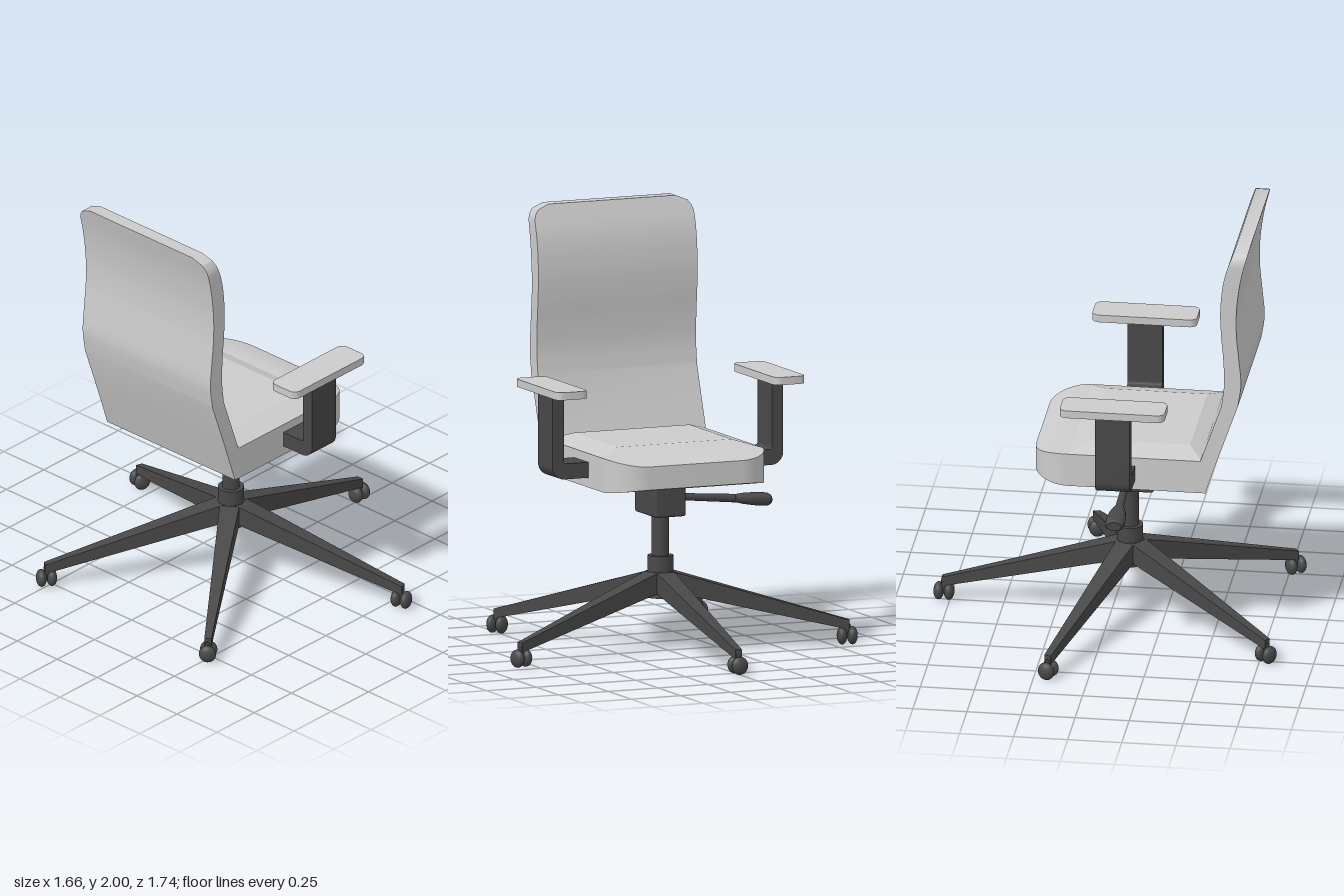
import * as THREE from 'three';
import { toCreasedNormals } from 'three/addons/utils/BufferGeometryUtils.js';
import { RoundedBoxGeometry } from 'three/addons/geometries/RoundedBoxGeometry.js';

const fabric = new THREE.MeshStandardMaterial({ color: 0xcccccc });
const dark = new THREE.MeshStandardMaterial({ color: 0x484848 });
const CX = -0.083; // x of the central column

function add(parent, name, geometry, material, x = 0, y = 0, z = 0) {
  const mesh = new THREE.Mesh(geometry, material);
  mesh.name = name;
  mesh.position.set(x, y, z);
  parent.add(mesh);
  return mesh;
}

// Closed solid through a list of rings with equal point counts
function loft(rings, crease = 0.5) {
  const pos = [];
  const tri = (a, b, c) => pos.push(...a, ...b, ...c);
  const n = rings[0].length;
  for (let i = 0; i < rings.length - 1; i++) {
    for (let j = 0; j < n; j++) {
      const k = (j + 1) % n;
      const [a, b, c, d] = [rings[i][j], rings[i][k], rings[i + 1][k], rings[i + 1][j]];
      tri(a, b, c);
      tri(a, c, d);
    }
  }
  const first = rings[0], last = rings[rings.length - 1];
  for (let j = 1; j < n - 1; j++) {
    tri(first[0], first[j + 1], first[j]);
    tri(last[0], last[j], last[j + 1]);
  }
  const g = new THREE.BufferGeometry();
  g.setAttribute('position', new THREE.Float32BufferAttribute(pos, 3));
  return toCreasedNormals(g, crease);
}

// Rectangular rings: across x, and lying flat or tilted
const ringX = (x, y0, y1, w) => [[x, y0, w], [x, y0, -w], [x, y1, -w], [x, y1, w]];
const ringY = (xb, yb, xf, yf, w) => [[xb, yb, w], [xf, yf, w], [xf, yf, -w], [xb, yb, -w]];

function makeSeat(chair) {
  // Seat base with rounded front corners and a thinner front edge
  const rings = [ringX(-0.475, 0.78, 0.938, 0.4)];
  for (let i = 0; i <= 10; i++) {
    const a = (i / 10) * Math.PI / 2;
    const s = Math.sin(a), drop = 0.028 * s * s;
    rings.push(ringX(0.15 + 0.17 * s, 0.78 + drop * 0.8, 0.938 - drop, 0.23 + 0.17 * Math.cos(a)));
  }
  add(chair, 'seat', loft(rings), fabric);
  // Raised middle of the cushion
  add(chair, 'seatCushion', loft([
    ringY(-0.47, 0.937, 0.15, 0.937, 0.4),
    ringY(-0.4, 0.97, 0.07, 0.97, 0.29),
  ], 0.1), fabric);
}

function makeBackrest(chair) {
  // Curved profile: back and front lines sampled at the same steps
  const curve = (pts) => new THREE.CatmullRomCurve3(pts.map(([x, y]) => new THREE.Vector3(x, y, 0)));
  const back = curve([[-0.635, 1.22], [-0.65, 1.33], [-0.64, 1.46], [-0.629, 1.58], [-0.63, 1.71], [-0.65, 1.86], [-0.685, 2]]);
  const front = curve([[-0.56, 1.22], [-0.572, 1.33], [-0.568, 1.46], [-0.558, 1.58], [-0.555, 1.71], [-0.573, 1.86], [-0.62, 2]]);
  const rings = [
    ringY(-0.485, 0.78, -0.405, 0.78, 0.4),
    ringY(-0.537, 0.938, -0.462, 0.938, 0.4),
  ];
  const steps = 36;
  for (let i = 0; i <= steps; i++) {
    const b = back.getPoint(i / steps), f = front.getPoint(i / steps);
    // Rounded top corners
    const up = Math.max(0, Math.min(1, (b.y - 1.92) / 0.08));
    const w = 0.32 + 0.08 * Math.sqrt(1 - up * up);
    rings.push(ringY(b.x, b.y, f.x, f.y, w));
  }
  add(chair, 'backrest', loft(rings), fabric);
}

function makeArm(side) {
  const arm = new THREE.Group();
  arm.name = side > 0 ? 'armrestPositiveZ' : 'armrestNegativeZ';
  // L-shaped support drawn in (z, y), extruded along x
  const s = new THREE.Shape();
  s.moveTo(0.38, 0.825);
  s.lineTo(0.52, 0.825);
  s.absarc(0.52, 0.885, 0.06, -Math.PI / 2, 0, false);
  s.lineTo(0.58, 1.225);
  s.lineTo(0.523, 1.225);
  s.lineTo(0.523, 0.91);
  s.quadraticCurveTo(0.523, 0.897, 0.51, 0.897);
  s.lineTo(0.38, 0.897);
  const support = new THREE.ExtrudeGeometry(s, { depth: 0.16, bevelEnabled: false, curveSegments: 8 });
  support.rotateY(-Math.PI / 2);
  // Mirror by turning about the middle of the support
  support.translate(0.08, 0, 0);
  if (side < 0) support.rotateY(Math.PI);
  add(arm, 'armSupport', toCreasedNormals(support, 0.5), dark, -0.08);

  // Flat pad with rounded corners
  const p = new THREE.Shape();
  const [hx, hz, r] = [0.242, 0.078, 0.035];
  p.absarc(hx - r, hz - r, r, 0, Math.PI / 2);
  p.absarc(r - hx, hz - r, r, Math.PI / 2, Math.PI);
  p.absarc(r - hx, r - hz, r, Math.PI, Math.PI * 1.5);
  p.absarc(hx - r, r - hz, r, Math.PI * 1.5, Math.PI * 2);
  const pad = new THREE.ExtrudeGeometry(p, { depth: 0.036, bevelEnabled: false, curveSegments: 5 });
  pad.rotateX(-Math.PI / 2);
  add(arm, 'armPad', toCreasedNormals(pad, 0.5), fabric, -0.082, 1.219, side * 0.547);
  return arm;
}

function makeLeg(index) {
  const leg = new THREE.Group();
  leg.name = 'leg' + (index + 1);
  add(leg, 'legBeam', loft([
    ringX(0, 0.265, 0.365, 0.05),
    ringX(0.06, 0.26, 0.355, 0.045),
    ringX(0.87, 0.07, 0.115, 0.016),
  ], 0.1), dark);
  // Twin domed wheels on a short axle
  const axle = new THREE.CylinderGeometry(0.014, 0.014, 0.06, 12).rotateZ(Math.PI / 2);
  add(leg, 'casterAxle', axle, dark, 0.862, 0.043);
  add(leg, 'casterStem', new THREE.CylinderGeometry(0.013, 0.013, 0.06, 12), dark, 0.862, 0.065);
  for (const x of [0.837, 0.885]) {
    const wheel = new THREE.SphereGeometry(0.042, 20, 14).scale(0.58, 1, 0.95);
    add(leg, 'casterWheel', wheel, dark, x, 0.042);
  }
  leg.position.x = CX;
  leg.rotation.y = index * Math.PI * 2 / 5;
  return leg;
}

function makeLever(chair) {
  // Thin rod ending in a flattened paddle, on the -z side
  const lever = new THREE.Group();
  lever.name = 'heightLever';
  const rod = new THREE.CylinderGeometry(0.02, 0.016, 0.34, 12).rotateX(-Math.PI / 2);
  add(lever, 'leverRod', rod, dark, 0, 0, -0.17);
  const profile = [[0, 0], [0.018, 0], [0.027, 0.05], [0.032, 0.11], [0.032, 0.165], [0.024, 0.18], [0, 0.18]];
  const paddle = new THREE.LatheGeometry(profile.map(([x, y]) => new THREE.Vector2(x, y)), 20);
  paddle.rotateX(-Math.PI / 2).scale(1.4, 0.95, 1);
  add(lever, 'leverPaddle', toCreasedNormals(paddle, 0.6), dark, 0, 0, -0.31);
  lever.position.set(CX, 0.697, -0.06);
  lever.rotation.x = -0.09;
  chair.add(lever);
}

export function createModel() {
  const chair = new THREE.Group();
  chair.name = 'officeChair';

  makeSeat(chair);
  makeBackrest(chair);
  for (const side of [1, -1]) chair.add(makeArm(side));

  // Tilt box, gas column and hub
  add(chair, 'tiltBox', new RoundedBoxGeometry(0.236, 0.17, 0.156, 2, 0.012), dark, CX, 0.705, 0);
  add(chair, 'column', new THREE.CylinderGeometry(0.04, 0.04, 0.24, 28), dark, CX, 0.52, 0);
  add(chair, 'hub', new THREE.CylinderGeometry(0.06, 0.06, 0.195, 28), dark, CX, 0.3325, 0);

  makeLever(chair);
  for (let i = 0; i < 5; i++) chair.add(makeLeg(i));
  return chair;
}
